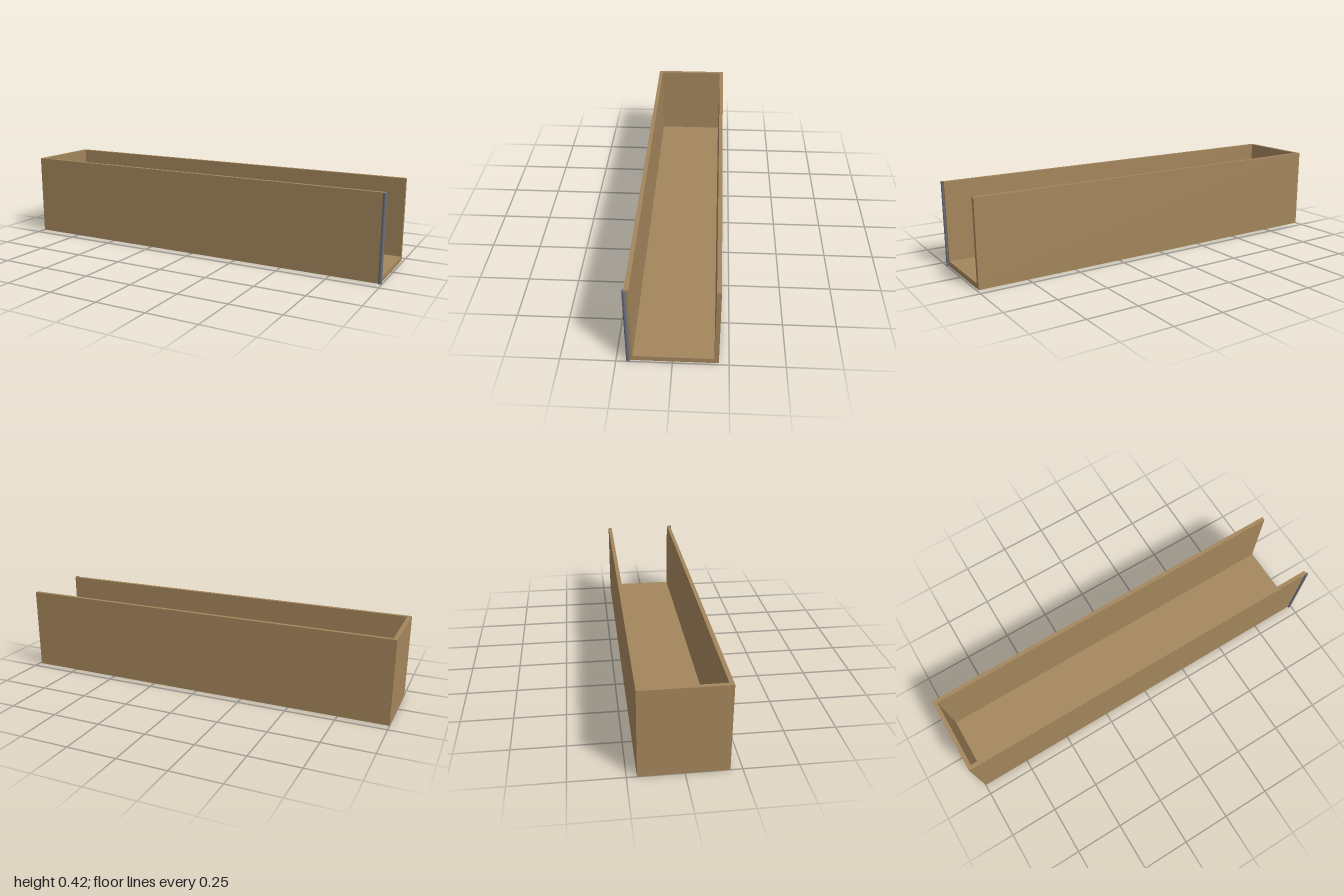
import * as THREE from 'three';

export function createModel() {
  const model = new THREE.Group();
  model.name = 'openTrough';

  const wood = new THREE.MeshStandardMaterial({ color: 0xa4865c });
  wood.name = 'tan wood';
  const steel = new THREE.MeshStandardMaterial({ color: 0x6c727c });
  steel.name = 'grey steel';

  // Outer limits of the trough and its board thicknesses
  const left = -1, right = 0.991, back = -0.205, front = 0.196;
  const height = 0.424, wall = 0.02, floor = 0.026;

  // Adds a board spanning the given limits
  function board(name, x0, x1, y0, y1, z0, z1) {
    const mesh = new THREE.Mesh(new THREE.BoxGeometry(x1 - x0, y1 - y0, z1 - z0), wood);
    mesh.position.set((x0 + x1) / 2, (y0 + y1) / 2, (z0 + z1) / 2);
    mesh.name = name;
    model.add(mesh);
  }

  // Floor, two long sides and one closed end; the +x end and the top stay open
  board('floor', left, right, 0, floor, back, front);
  board('frontWall', left, right, floor, height, front - wall, front);
  board('backWall', left, right, floor, height, back, back + wall);
  board('endWall', left, left + wall, floor, height, back + wall, front - wall);

  // Upright hinge pin on the front corner of the open end
  const pin = new THREE.Mesh(new THREE.CylinderGeometry(0.009, 0.009, height, 16), steel);
  pin.position.set(right, height / 2, front);
  pin.name = 'hingePin';
  model.add(pin);

  return model;
}
